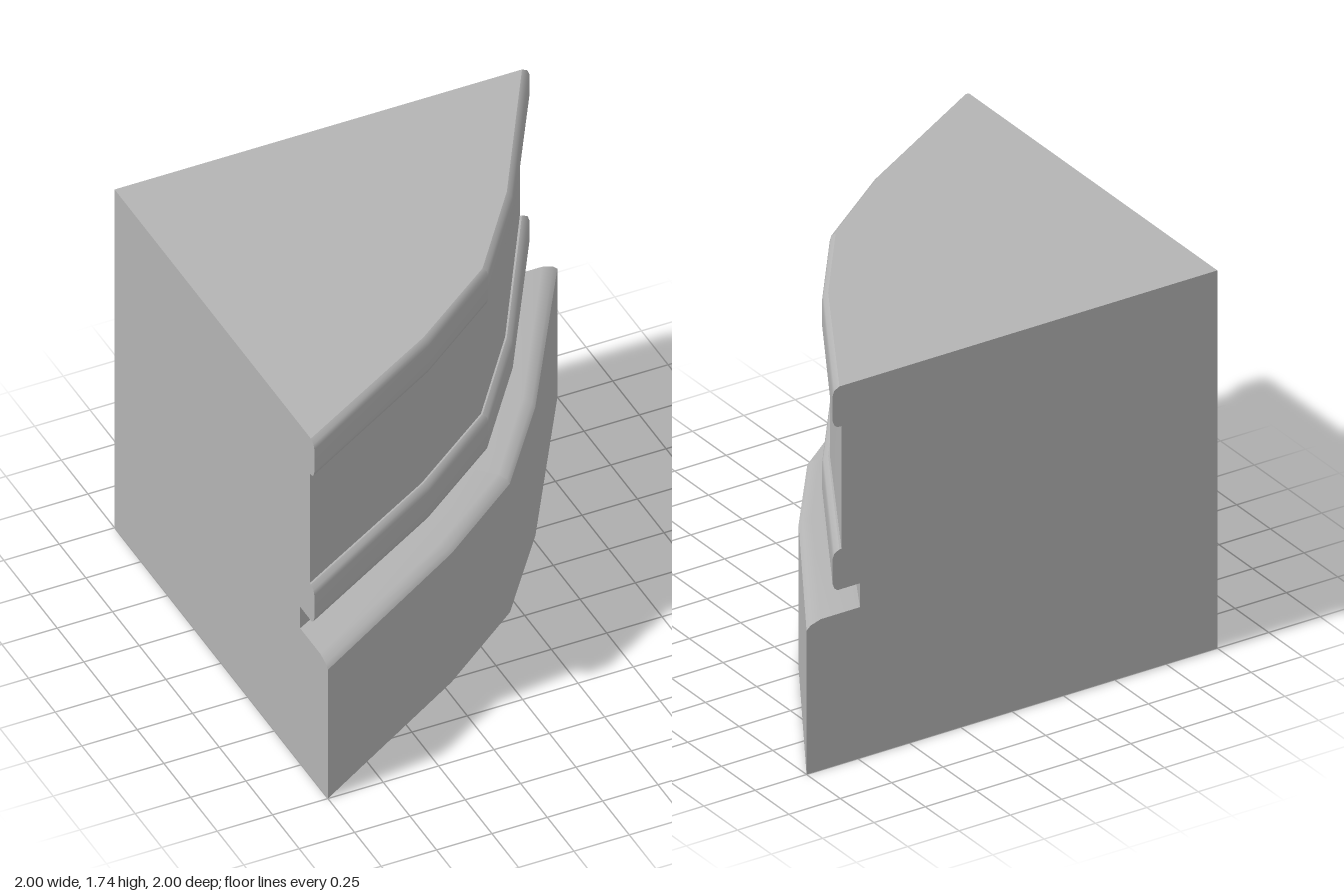
import * as THREE from 'three';

const HEIGHT = 1.74;

// Plan of the curved front: each point with its inward shift per unit of inset
const PLAN = [
  { x: 1, z: -1, kx: 1, kz: 0 },
  { x: 0.52, z: -0.21, kx: 0.55, kz: 0.53 },
  { x: 0.205, z: 0.205, kx: 0.52, kz: 0.52 },
  { x: -0.21, z: 0.52, kx: 0.53, kz: 0.55 },
  { x: -1, z: 1, kx: 0, kz: 1 },
];

// Rounded band profile, from the underside outwards and over the top: [reach, y]
const band = (y0, y1, inner0, inner1) => [
  [[inner0, y0], [0.85, y0]],
  [[0.85, y0], [0.865, y0 + 0.013], [0.873, y0 + 0.035], [0.873, y1 - 0.035], [0.865, y1 - 0.013], [0.84, y1]],
  ...(inner1 ? [[[0.84, y1], [inner1, y1]]] : []),
];

// Every part is a list of smooth profile runs, ordered from bottom to top
const PARTS = [
  ['base', [[[1, 0], [1, 0.662]], [[1, 0.662], [0.98, 0.68], [0.93, 0.695], [0.74, 0.695]]]],
  ['groove', [[[0.74, 0.695], [0.74, 0.805]]]],
  ['lowerBand', band(0.805, 0.99, 0.74, 0.83)],
  ['wall', [[[0.83, 0.99], [0.83, 1.555]]]],
  ['upperBand', band(1.555, HEIGHT, 0.83, null)],
];

const place = (p, reach, y) => [p.x - p.kx * (1 - reach), y, p.z - p.kz * (1 - reach)];

function indexed(positions, index) {
  const g = new THREE.BufferGeometry();
  g.setAttribute('position', new THREE.Float32BufferAttribute(positions.flat(), 3));
  g.setIndex(index);
  g.computeVertexNormals();
  return g;
}

// Sweeps one profile run along a stretch of the plan
function sweep(plan, run) {
  const positions = [], index = [], n = run.length;
  plan.forEach(p => run.forEach(([r, y]) => positions.push(place(p, r, y))));
  for (let i = 0; i < plan.length - 1; i++) {
    for (let j = 0; j < n - 1; j++) {
      const a = i * n + j, b = a + 1, c = a + n, d = c + 1;
      index.push(a, b, c, b, d, c);
    }
  }
  return indexed(positions, index);
}

// Flat lid fanned from the square back corner
function lid(reach, y, up) {
  const positions = [[-1, y, -1], ...PLAN.map(p => place(p, reach, y))];
  const index = [];
  for (let i = 1; i < PLAN.length; i++) index.push(0, ...(up ? [i + 1, i] : [i, i + 1]));
  return indexed(positions, index);
}

// Flat cut face with the outline of the whole profile
function cutFace(sign) {
  const profile = PARTS.flatMap(([, runs]) => runs.flat())
    .filter((p, i, all) => !i || p[0] !== all[i - 1][0] || p[1] !== all[i - 1][1]);
  const points = [[-1, 0], ...profile, [-1, HEIGHT]];
  return new THREE.ShapeGeometry(new THREE.Shape(points.map(([x, y]) => new THREE.Vector2(sign * x, y))));
}

export function createModel() {
  const stone = new THREE.MeshStandardMaterial({ color: 0xb4b4b4 });
  stone.name = 'stone grey';
  const model = new THREE.Group();
  model.name = 'cornerPedestal';
  const add = (parent, name, geometry) => {
    const mesh = new THREE.Mesh(geometry, stone);
    mesh.name = name;
    parent.add(mesh);
  };

  // Moulded front in two halves that meet at a crisp edge
  for (const [name, runs] of PARTS) {
    const part = new THREE.Group();
    part.name = name;
    for (const run of runs) {
      add(part, name + 'LeftHalf', sweep(PLAN.slice(0, 3), run));
      add(part, name + 'RightHalf', sweep(PLAN.slice(2), run));
    }
    model.add(part);
  }

  // Flat top, underside and the two cut faces
  add(model, 'top', lid(0.84, HEIGHT, true));
  add(model, 'underside', lid(1, 0, false));
  add(model, 'backFace', cutFace(-1).rotateY(Math.PI).translate(0, 0, -1));
  add(model, 'sideFace', cutFace(1).rotateY(-Math.PI / 2).translate(-1, 0, 0));
  return model;
}
